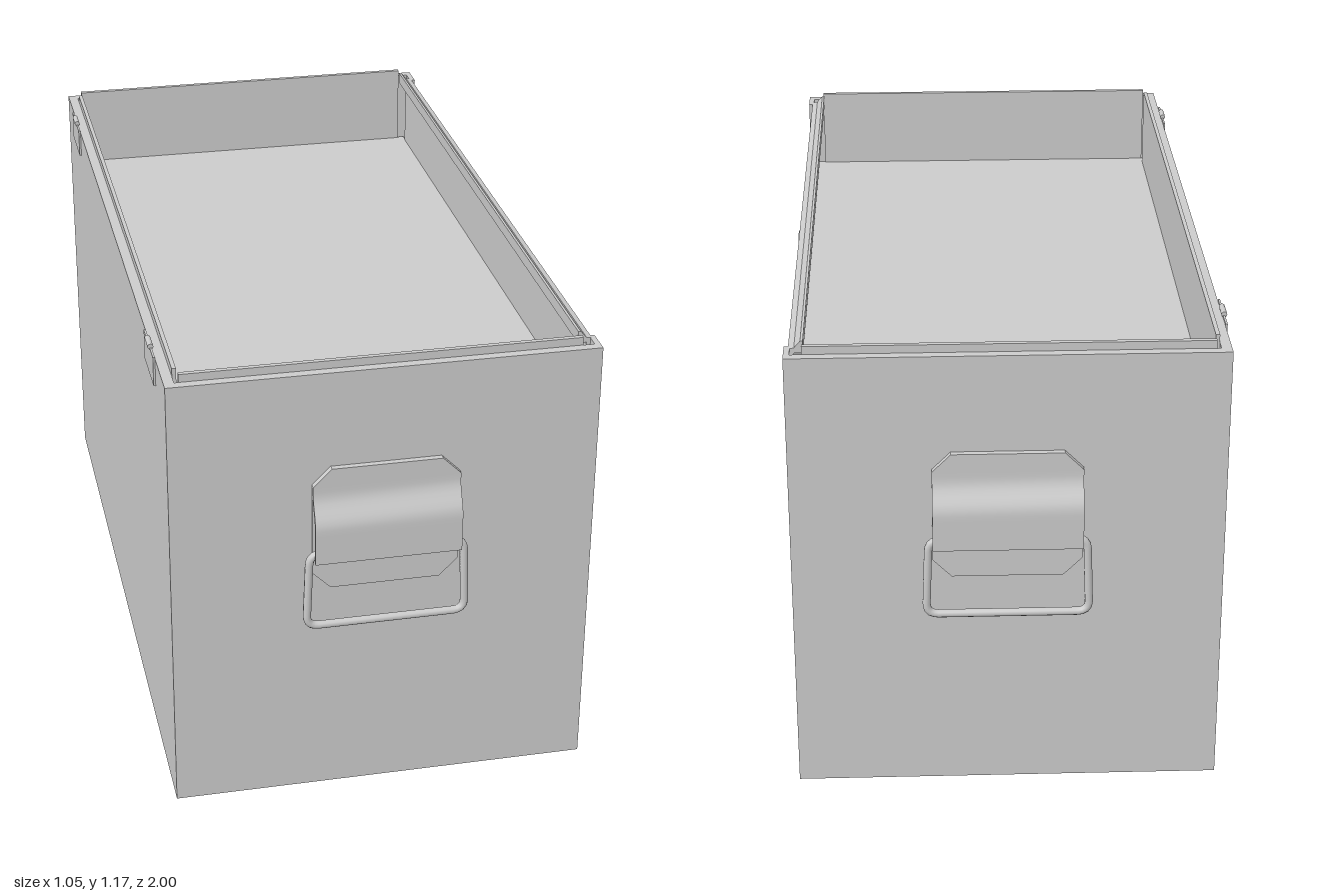
import * as THREE from 'three';

const grey = new THREE.MeshStandardMaterial({ color: 0xcccccc, side: THREE.DoubleSide });

function add(parent, name, geometry) {
  const mesh = new THREE.Mesh(geometry, grey);
  mesh.name = name;
  parent.add(mesh);
  return mesh;
}

// Box given by its lower and upper limits on each axis
function block(parent, name, [x0, x1], [y0, y1], [z0, z1]) {
  const mesh = add(parent, name, new THREE.BoxGeometry(x1 - x0, y1 - y0, z1 - z0));
  mesh.position.set((x0 + x1) / 2, (y0 + y1) / 2, (z0 + z1) / 2);
  return mesh;
}

function extrude(points, depth) {
  const shape = new THREE.Shape(points.map(([x, y]) => new THREE.Vector2(x, y)));
  return new THREE.ExtrudeGeometry(shape, { depth, bevelEnabled: false });
}

// Closed wire loop with rounded corners
function roundedLoop(corners, radius) {
  const pts = corners.map(([x, y]) => new THREE.Vector3(x, y, 0));
  const toward = (a, b) => a.clone().add(b.clone().sub(a).setLength(radius));
  const path = new THREE.CurvePath();
  pts.forEach((p, i) => {
    const prev = pts[(i + 3) % 4], next = pts[(i + 1) % 4];
    path.add(new THREE.QuadraticBezierCurve3(toward(p, prev), p, toward(p, next)));
    path.add(new THREE.LineCurve3(toward(p, next), toward(next, p)));
  });
  return path;
}

// Carrying handle for one end wall, facing +z from the wall surface at z = 0
function carryingHandle() {
  const handle = new THREE.Group();
  handle.name = 'carryingHandle';

  const w = 0.179, c = 0.045;
  add(handle, 'handleBackPlate', extrude([
    [-w + c, 0.575], [w - c, 0.575], [w, 0.575 + c], [w, 0.86],
    [w - c, 0.905], [-w + c, 0.905], [-w, 0.86], [-w, 0.575 + c],
  ], 0.006));

  // Pressed cover: flat at the top, swelling outward over the wire loop
  const cover = new THREE.BoxGeometry(2 * w, 0.24, 0.009, 1, 16, 1);
  cover.translate(0, 0.785, 0.0105);
  const p = cover.attributes.position;
  for (let i = 0; i < p.count; i++) {
    const y = p.getY(i);
    const half = w - Math.max(0, y - 0.86);
    p.setX(i, Math.sign(p.getX(i)) * half);
    p.setZ(i, p.getZ(i) + 0.03 * (1 - THREE.MathUtils.smoothstep(y, 0.76, 0.84)));
  }
  cover.computeVertexNormals();
  add(handle, 'handleCover', cover);

  const loop = roundedLoop([[-0.196, 0.482], [0.196, 0.482], [0.189, 0.682], [-0.189, 0.682]], 0.03);
  add(handle, 'handleLoop', new THREE.TubeGeometry(loop, 120, 0.01, 10, true)).position.z = 0.021;
  return handle;
}

export function createModel() {
  const chest = new THREE.Group();
  chest.name = 'toolChest';

  // Case: base, back wall and the shelf that forms the top tray
  block(chest, 'base', [-0.515, 0.522], [0, 0.078], [-0.955, 0.955]);
  block(chest, 'backWall', [-0.515, -0.49], [0.078, 1.15], [-0.955, 0.955]);
  block(chest, 'backLip', [-0.49, -0.48], [0.078, 1.17], [-0.9, 0.9]);
  block(chest, 'trayFloor', [-0.482, 0.5], [0.945, 0.955], [-0.925, 0.925]);

  for (const s of [-1, 1]) {
    const zSpan = (a, b) => (s > 0 ? [a, b] : [-b, -a]);
    block(chest, 'endWall', [-0.49, 0.51], [0.078, 1.15], zSpan(0.932, 0.955));
    block(chest, 'endLip', [-0.48, 0.48], [0.078, 1.17], zSpan(0.92, 0.932));
    // Corner post beside the opening
    block(chest, 'frontPost', [0.508, 0.522], [0.078, 1.15], zSpan(0.885, 0.955));
    block(chest, 'postReturn', [0.495, 0.508], [0.078, 0.95], zSpan(0.885, 0.895));

    const handle = carryingHandle();
    handle.position.set(0.005, 0, s * 0.955);
    handle.rotation.y = s > 0 ? 0 : Math.PI;
    chest.add(handle);

    // Lid hinge: leaf on the back wall with a rolled knuckle
    const z = s * 0.73;
    block(chest, 'hingeLeaf', [-0.52, -0.515], [1.08, 1.155], [z - 0.075, z + 0.075]);
    const knuckle = add(chest, 'hingeKnuckle', new THREE.CylinderGeometry(0.007, 0.007, 0.05, 12));
    knuckle.rotation.x = Math.PI / 2;
    knuckle.position.set(-0.518, 1.158, z);
  }

  // Upper front panel with its folded top edge
  const panel = add(chest, 'frontPanel', extrude([
    [0.498, 0.945], [0.512, 0.945], [0.512, 1.15], [0.498, 1.153],
    [0.483, 1.17], [0.477, 1.17], [0.477, 1.14], [0.498, 1.14],
  ], 1.8));
  panel.position.z = -0.9;

  // Lock and plain label plate
  const lock = add(chest, 'lock', new THREE.CylinderGeometry(0.03, 0.03, 0.012, 32));
  lock.rotation.z = Math.PI / 2;
  lock.position.set(0.516, 1.06, 0);
  block(chest, 'labelPlate', [0.512, 0.517], [1.015, 1.085], [-0.71, -0.42]);

  return chest;
}
